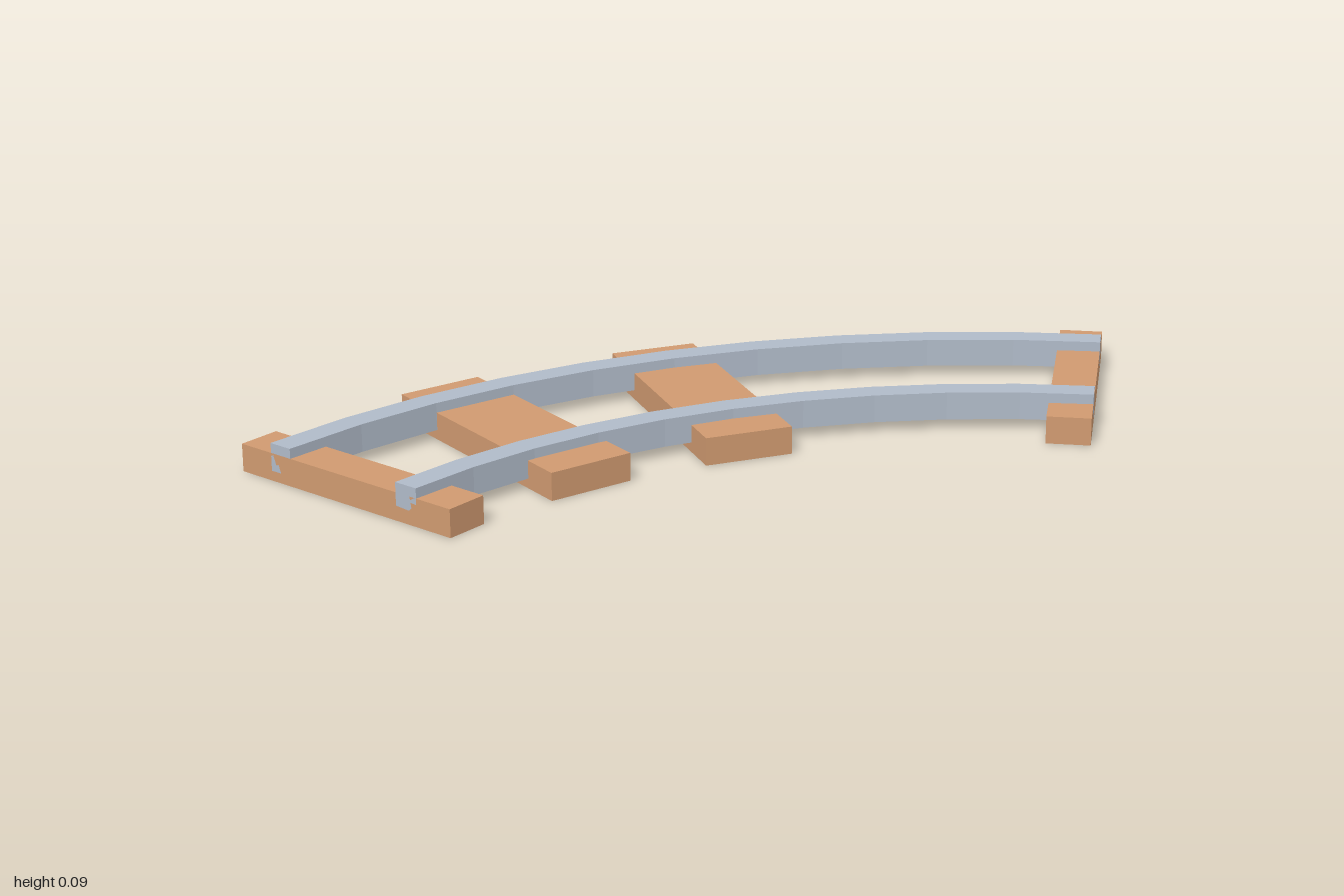
import * as THREE from 'three';

const rad = THREE.MathUtils.degToRad;
const ARC = 60, SEGMENTS = 10;

// Curved bar between two radii, swept about the origin from -z towards +x
function railGeometry(inner, outer, bottom, height) {
  const arc = (r) => Array.from({ length: SEGMENTS + 1 }, (_, i) => {
    const a = rad(ARC * i / SEGMENTS);
    return new THREE.Vector2(r * Math.sin(a), r * Math.cos(a));
  });
  const shape = new THREE.Shape([...arc(outer), ...arc(inner).reverse()]);
  const geometry = new THREE.ExtrudeGeometry(shape, { depth: height, bevelEnabled: false });
  return geometry.rotateX(-Math.PI / 2).translate(0, bottom, 0);
}

export function createModel() {
  const model = new THREE.Group();
  model.name = 'curvedTrack';

  const wood = new THREE.MeshStandardMaterial({ color: 0xd09a70, flatShading: true });
  const steel = new THREE.MeshStandardMaterial({ color: 0xb0bac8, flatShading: true });

  // Everything turns about the centre of the curve
  const curve = new THREE.Group();
  curve.name = 'curve';
  curve.position.set(-1, 0, 1.55);
  model.add(curve);

  // Rails
  for (const [name, inner, outer] of [['innerRail', 1.725, 1.79], ['outerRail', 2.135, 2.2]]) {
    const rail = new THREE.Mesh(railGeometry(inner, outer, 0.025, 0.07), steel);
    rail.name = name;
    curve.add(rail);
  }

  // Sleepers: angle, width along the track, shift along the track (half-width at both ends)
  const sleepers = [
    ['startSleeper', 0, 0.11, 0.055],
    ['sleeper1', 15, 0.222, 0],
    ['sleeper2', 30, 0.222, 0],
    ['endSleeper', ARC, 0.11, -0.055],
  ];
  for (const [name, angle, width, shift] of sleepers) {
    const geometry = new THREE.BoxGeometry(width, 0.07, 0.68).translate(shift, 0.035, -1.96);
    const sleeper = new THREE.Mesh(geometry, wood);
    sleeper.name = name;
    sleeper.rotation.y = -rad(angle);
    curve.add(sleeper);
  }

  return model;
}
